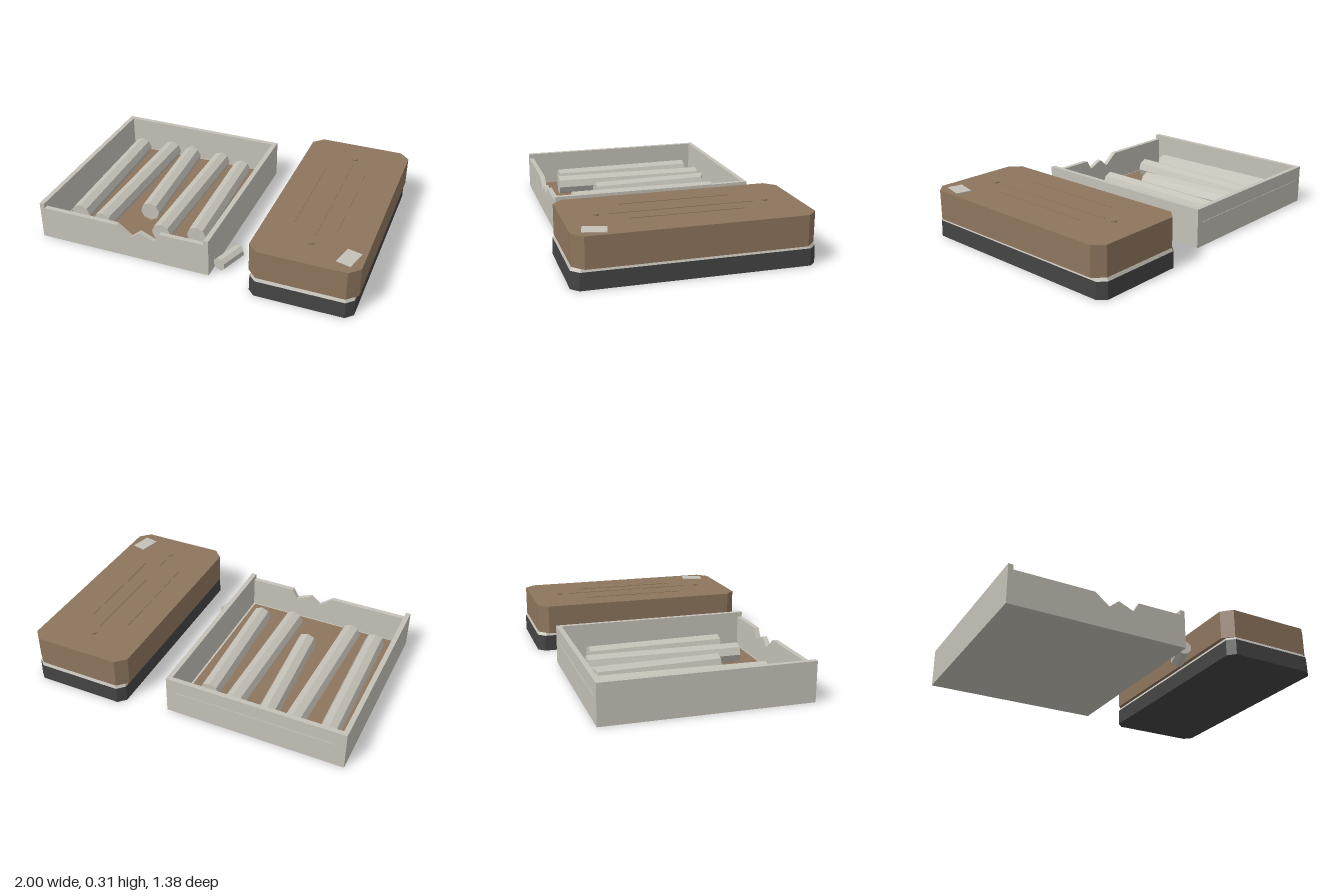
import * as THREE from 'three';

const mat = (name, color) => {
  const m = new THREE.MeshStandardMaterial({ color });
  m.name = name;
  m.flatShading = true;
  return m;
};

export function createModel() {
  const root = new THREE.Group();
  root.name = 'chalkBoxAndEraser';
  const card = mat('paleCard', 0xc4c1b7);
  const brown = mat('brownWood', 0x8e755d);
  const felt = mat('darkFelt', 0x444444);

  const add = (parent, name, geometry, material, x = 0, y = 0, z = 0) => {
    const mesh = new THREE.Mesh(geometry, material);
    mesh.name = name;
    mesh.position.set(x, y, z);
    parent.add(mesh);
    return mesh;
  };
  // Box given by its lower and upper limits
  const slab = (parent, name, material, [x0, x1], [y0, y1], [z0, z1]) =>
    add(parent, name, new THREE.BoxGeometry(x1 - x0, y1 - y0, z1 - z0), material,
      (x0 + x1) / 2, (y0 + y1) / 2, (z0 + z1) / 2);
  const shapeOf = (pts) => new THREE.Shape(pts.map(([x, y]) => new THREE.Vector2(x, y)));

  // Open card tray
  const tray = new THREE.Group();
  tray.name = 'tray';
  root.add(tray);
  slab(tray, 'trayFloor', card, [-0.97, 0.08], [0, 0.02], [-0.59, 0.585]);
  slab(tray, 'trayLining', brown, [-0.96, 0.065], [0.02, 0.025], [-0.575, 0.57]);
  slab(tray, 'rightWall', card, [-1, -0.97], [0, 0.24], [-0.62, 0.585]);
  slab(tray, 'leftWall', card, [0.08, 0.11], [0, 0.24], [-0.62, 0.585]);
  slab(tray, 'backWall', card, [-0.97, 0.08], [0, 0.24], [-0.62, -0.59]);
  slab(tray, 'backSeam', card, [-0.95, 0.06], [0.148, 0.154], [-0.623, -0.62]);

  // Front wall with its torn edge
  const front = shapeOf([
    [-1, 0], [0.11, 0], [0.11, 0.24], [0.08, 0.24], [0.08, 0.21], [-0.2, 0.21],
    [-0.235, 0.15], [-0.33, 0.19], [-0.39, 0.14], [-0.48, 0.21], [-0.97, 0.21],
    [-0.97, 0.24], [-1, 0.24],
  ]);
  add(tray, 'frontWall', new THREE.ExtrudeGeometry(front, { depth: 0.03, bevelEnabled: false }),
    card, 0, 0, 0.585);

  // Chalk sticks: from the front end to the back end, some with a snapped back end
  const chalk = (name, [x0, z0], [x1, z1], r, y, snapped) => {
    const dir = new THREE.Vector3(x1 - x0, 0, z1 - z0);
    const len = dir.length();
    const g = new THREE.CylinderGeometry(r, r, len, 8);
    const p = g.attributes.position;
    if (snapped) {
      for (let i = 0; i < p.count; i++) {
        if (p.getY(i) < 0) continue;
        const a = Math.atan2(p.getX(i), p.getZ(i));
        const rim = Math.hypot(p.getX(i), p.getZ(i)) > r / 2;
        p.setY(i, len / 2 + (rim ? r * 0.25 * (Math.cos(3 * a) - 1) : 0));
      }
    }
    const mesh = add(root, name, g, card, (x0 + x1) / 2, y, (z0 + z1) / 2);
    mesh.quaternion.setFromUnitVectors(new THREE.Vector3(0, 1, 0), dir.normalize());
  };
  [
    [[-0.835, 0.43], [-0.855, -0.5], false],
    [[-0.665, 0.46], [-0.638, -0.53], false],
    [[-0.44, 0.25], [-0.48, -0.53], true],
    [[-0.275, 0.44], [-0.26, -0.51], false],
    [[-0.063, 0.39], [-0.09, -0.46], false],
  ].forEach(([a, b, s], i) => chalk('chalkStick' + (i + 1), a, b, 0.062, 0.087, s));
  chalk('chalkStub', [0.148, 0.545], [0.212, 0.365], 0.042, 0.042, true);

  // Eraser: stacked blocks with cut corners
  const eraser = new THREE.Group();
  eraser.name = 'eraser';
  eraser.position.x = 0.68;
  root.add(eraser);
  const block = (name, material, w, d, cut, y0, y1, inset = 0) => {
    const s = shapeOf([
      [w - cut, -d], [w, cut - d], [w, d - cut], [w - cut, d],
      [cut - w, d], [-w, d - cut], [-w, cut - d], [cut - w, -d],
    ]);
    const g = new THREE.ExtrudeGeometry(s, { depth: y1 - y0, bevelEnabled: false });
    g.rotateX(-Math.PI / 2);
    const p = g.attributes.position;
    for (let i = 0; i < p.count; i++) {
      if (p.getY(i) < (y1 - y0) / 2) continue;
      p.setX(i, p.getX(i) * (1 - inset / w));
      p.setZ(i, p.getZ(i) * (1 - inset / d));
    }
    g.computeVertexNormals();
    add(eraser, name, g, material, 0, y0, 0);
  };
  block('feltPad', felt, 0.308, 0.692, 0.043, 0, 0.1, 0.002);
  block('paleBand', card, 0.304, 0.688, 0.043, 0.1, 0.12, 0.008);
  block('handle', brown, 0.32, 0.682, 0.06, 0.12, 0.3);

  // Raised grooves, pins and paper label on the handle
  [[-0.15, 0.33], [0, 0.42], [0.105, 0.33]].forEach(([x, h], i) =>
    slab(eraser, 'gripLine' + (i + 1), brown, [x - 0.004, x + 0.004], [0.3, 0.303], [-h, h]));
  for (const z of [-0.49, 0.49]) {
    add(eraser, 'pin', new THREE.CylinderGeometry(0.018, 0.018, 0.008, 10), brown, 0, 0.304, z);
  }
  const label = add(eraser, 'paperLabel', new THREE.BoxGeometry(0.09, 0.004, 0.135), card,
    0.232, 0.302, 0.55);
  label.rotation.y = -0.24;

  return root;
}
